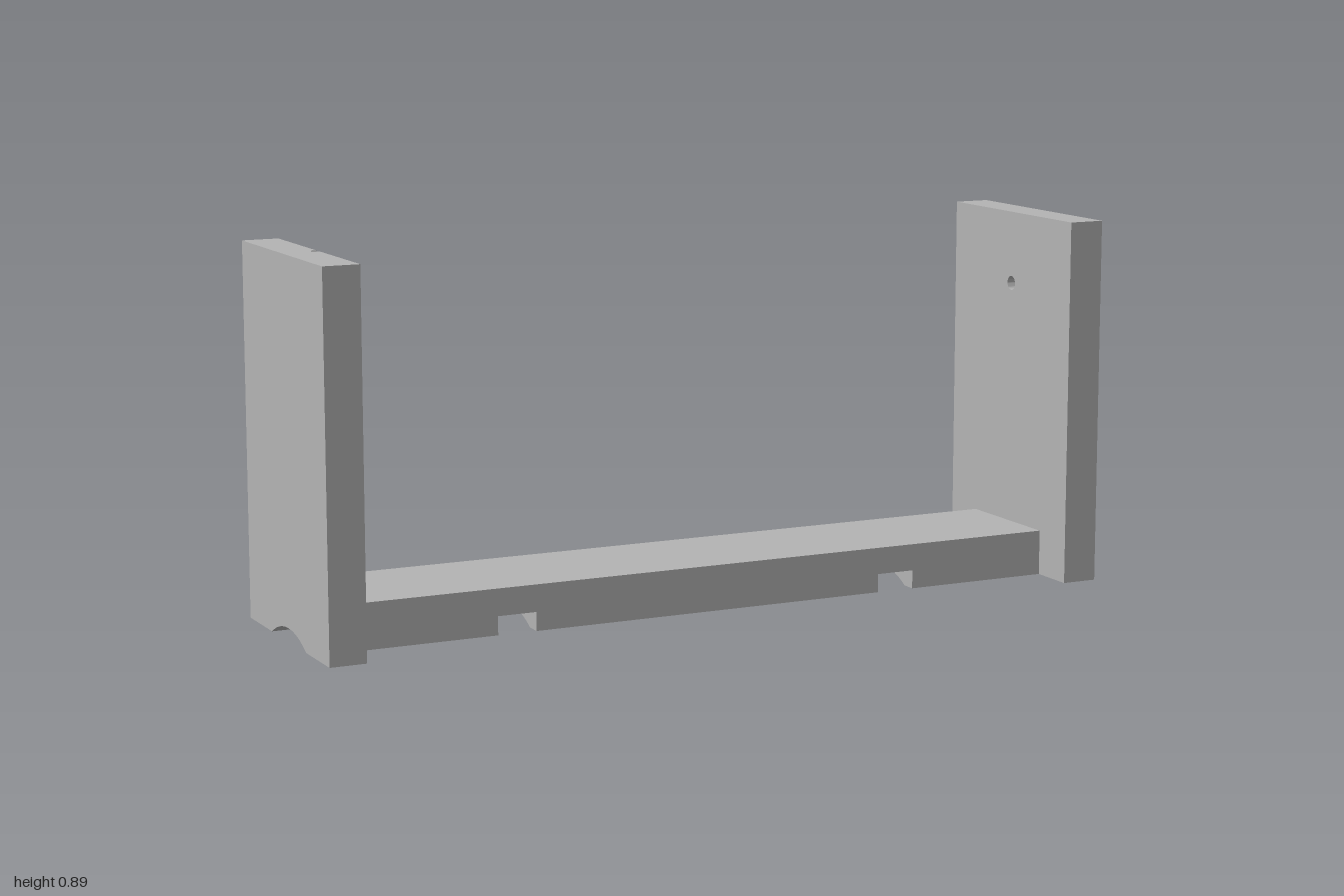
import * as THREE from 'three';
import { toCreasedNormals } from 'three/addons/utils/BufferGeometryUtils.js';

const END = 1, INNER = 0.912;            // end plate faces along x
const PLATE_H = 0.89, PLATE_W = 0.267;   // plate height and half width
const BASE_H = 0.11, BASE_W = 0.152;     // base height and half width
const GROOVE_W = 0.115, GROOVE_H = 0.032;
const SIGHT_Y = 0.712, REACH = 0.178, BAR = 0.009, CUT = 0.016;

export function createModel() {
  const group = new THREE.Group();
  const grey = new THREE.MeshStandardMaterial({ color: 0xb3b3b3 });
  grey.name = 'grey';

  // Extrude a cross-section (z, y) along x from x0 to x1
  function addSlab(name, shape, x0, x1) {
    const g = new THREE.ExtrudeGeometry(shape, { depth: x1 - x0, bevelEnabled: false, curveSegments: 24 });
    g.rotateY(Math.PI / 2);
    g.translate(x0, 0, 0);
    const mesh = new THREE.Mesh(toCreasedNormals(g, 0.5), grey);
    mesh.name = name;
    group.add(mesh);
  }

  // Points of a bottom edge, left to right, arched over the groove
  function bottomEdge(halfWidth) {
    const r = (GROOVE_W ** 2 + GROOVE_H ** 2) / (2 * GROOVE_H);
    const a = Math.asin(GROOVE_W / r);
    const pts = [new THREE.Vector2(-halfWidth, 0)];
    for (let i = 0; i <= 24; i++) {
      const t = -a + (2 * a * i) / 24;
      pts.push(new THREE.Vector2(r * Math.sin(t), GROOVE_H - r + r * Math.cos(t)));
    }
    pts.push(new THREE.Vector2(halfWidth, 0));
    return pts;
  }

  function grooved(halfWidth, height) {
    return new THREE.Shape([...bottomEdge(halfWidth),
      new THREE.Vector2(halfWidth, height), new THREE.Vector2(-halfWidth, height)]);
  }

  // Clockwise arc in quarter k, kept clear of the cross bars
  function quarterArc(k, r) {
    const a = Math.asin(Math.min(BAR / r, Math.SQRT1_2));
    const pts = [];
    for (let i = 0; i <= 16; i++) {
      const t = k * Math.PI / 2 + a + (Math.PI / 2 - 2 * a) * i / 16;
      pts.push(new THREE.Vector2(r * Math.sin(t), SIGHT_Y + r * Math.cos(t)));
    }
    return pts;
  }

  // Base with a grooved underside and two cross notches
  const n0 = 0.452, n1 = 0.548, notchH = 0.045;
  const bridge = new THREE.Shape([[-BASE_W, notchH], [BASE_W, notchH], [BASE_W, BASE_H], [-BASE_W, BASE_H]]
    .map(p => new THREE.Vector2(...p)));
  addSlab('baseMiddle', grooved(BASE_W, BASE_H), -n0, n0);
  addSlab('baseRight', grooved(BASE_W, BASE_H), -INNER, -n1);
  addSlab('baseLeft', grooved(BASE_W, BASE_H), n1, INNER);
  addSlab('notchBridgeRight', bridge, -n1, -n0);
  addSlab('notchBridgeLeft', bridge, n0, n1);

  // Left end plate with its peep hole
  const peep = grooved(PLATE_W, PLATE_H);
  peep.holes.push(new THREE.Path().absarc(0, SIGHT_Y, 0.0175, 0, Math.PI * 2, true));
  addSlab('peepPlate', peep, INNER, END);

  // Right end plate: solid back and an engraved inner layer
  addSlab('targetPlate', grooved(PLATE_W, PLATE_H), -END, -INNER - CUT);

  // Engraved layer around the outer ring and the bars; the top bar opens at the top edge
  const outerR = 0.122, outerIn = 0.105, innerR = 0.052, innerIn = 0.036;
  const face = [...bottomEdge(PLATE_W),
    new THREE.Vector2(PLATE_W, PLATE_H), new THREE.Vector2(BAR, PLATE_H)];
  for (let k = 0; k < 4; k++) {
    face.push(...quarterArc(k, outerR));
    if (k === 3) break;
    const t = (k + 1) * Math.PI / 2, s = Math.sin(t), c = Math.cos(t);
    for (const w of [-BAR, BAR]) {
      face.push(new THREE.Vector2(REACH * s + w * c, SIGHT_Y + REACH * c - w * s));
    }
  }
  face.push(new THREE.Vector2(-BAR, PLATE_H), new THREE.Vector2(-PLATE_W, PLATE_H));
  addSlab('targetFace', new THREE.Shape(face), -INNER - CUT, -INNER);

  // Raised fields left between the rings and bars
  for (let k = 0; k < 4; k++) {
    addSlab('targetField', new THREE.Shape(
      [...quarterArc(k, outerIn), ...quarterArc(k, innerR).reverse()]), -INNER - CUT, -INNER);
    const corner = quarterArc(k, BAR * Math.SQRT2)[0];
    addSlab('targetCentre', new THREE.Shape([...quarterArc(k, innerIn), corner]), -INNER - CUT, -INNER);
  }
  return group;
}
